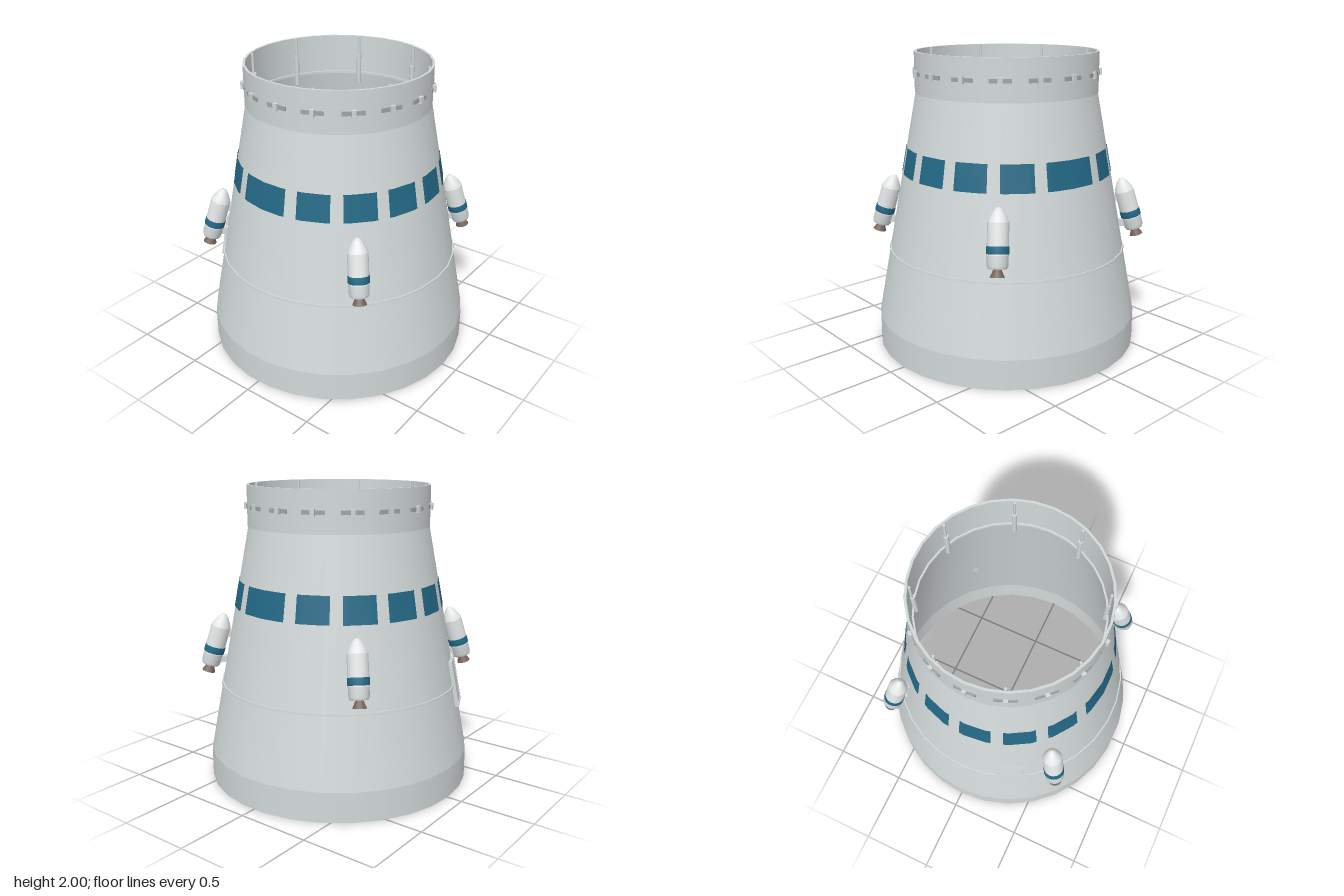
import * as THREE from 'three';

const SIDES = 30;
const DEG = Math.PI / 180;
const STEP = 360 / SIDES;
const SLOPE = Math.atan(0.29 / 1.53);

// Radius of the cone's corners at a height
const coneRadius = (y) => 0.897 - ((y - 0.2) / 1.53) * 0.29;

function makeMaterial(name, color, side = THREE.FrontSide) {
  const m = new THREE.MeshStandardMaterial({ color, side });
  m.name = name;
  return m;
}

function add(parent, name, geometry, material, x = 0, y = 0, z = 0) {
  const mesh = new THREE.Mesh(geometry, material);
  mesh.name = name;
  mesh.position.set(x, y, z);
  parent.add(mesh);
  return mesh;
}

// Open wall between two heights, with flats facing front and back
function wall(parent, name, material, y0, r0, y1, r1) {
  const g = new THREE.CylinderGeometry(r1, r0, y1 - y0, SIDES, 1, true, (STEP / 2) * DEG);
  return add(parent, name, g, material, 0, (y0 + y1) / 2, 0);
}

// Flat ring closing the gap between two walls
function rim(parent, name, material, y, inner, outer, up) {
  const g = new THREE.RingGeometry(inner, outer, SIDES, 1);
  g.rotateX(up ? -Math.PI / 2 : Math.PI / 2);
  return add(parent, name, g, material, 0, y, 0);
}

// Pane that follows the faceted cone between two angles (degrees)
function paneGeometry(a0, a1, y0, y1) {
  const angles = [a0];
  for (let a = Math.ceil((a0 - 6) / STEP) * STEP + 6; a < a1; a += STEP) if (a > a0) angles.push(a);
  angles.push(a1);
  const pos = [], idx = [];
  angles.forEach((a, i) => {
    const off = a - Math.round(a / STEP) * STEP;
    const facet = Math.cos((STEP / 2) * DEG) / Math.cos(off * DEG);
    for (const y of [y0, y1]) {
      const r = coneRadius(y) * facet + 0.004;
      pos.push(r * Math.sin(a * DEG), y, r * Math.cos(a * DEG));
    }
    if (i) {
      const k = i * 2;
      idx.push(k - 2, k, k - 1, k, k + 1, k - 1);
    }
  });
  const g = new THREE.BufferGeometry();
  g.setAttribute('position', new THREE.Float32BufferAttribute(pos, 3));
  g.setIndex(idx);
  g.computeVertexNormals();
  return g;
}

// Group turned so that its +z points outward at an angle
function radialGroup(parent, name, angle) {
  const g = new THREE.Group();
  g.name = name;
  g.rotation.y = angle * DEG;
  parent.add(g);
  return g;
}

function lathe(points, sides = 16) {
  return new THREE.LatheGeometry(points.map(([r, y]) => new THREE.Vector2(r, y)), sides);
}

export function createModel() {
  const model = new THREE.Group();
  model.name = 'adapterSection';
  const hull = makeMaterial('hull grey', 0xd2d8d8, THREE.DoubleSide);
  const white = makeMaterial('booster white', 0xe8ebeb);
  const blue = makeMaterial('window blue', 0x236885, THREE.DoubleSide);
  const fitting = makeMaterial('fitting grey', 0xa3a6a5);
  const brown = makeMaterial('nozzle brown', 0x76675d, THREE.DoubleSide);

  // Hull: base ring, cone and collar, each with an inner wall
  const T = 0.016;
  const sections = [
    ['base', 0, 0.897, 0.2, 0.897],
    ['cone', 0.2, 0.897, 1.73, 0.607],
    ['collar', 1.73, 0.611, 2, 0.611],
  ];
  for (const [name, y0, r0, y1, r1] of sections) {
    wall(model, name + 'Outer', hull, y0, r0, y1, r1);
    wall(model, name + 'Inner', hull, y0, r0 - T, y1, r1 - T);
  }
  rim(model, 'bottomRim', hull, 0, 0.897 - T, 0.897, false);
  rim(model, 'topRim', hull, 2, 0.611 - T, 0.611, true);
  rim(model, 'collarLip', hull, 1.73, 0.583, 0.611, false);
  wall(model, 'collarInnerBand', hull, 1.73, 0.583, 1.745, 0.583);
  rim(model, 'collarInnerLip', hull, 1.745, 0.583, 0.6, true);

  // Raised seam around the cone
  wall(model, 'seamBand', hull, 0.66, 0.817, 0.677, 0.815);
  rim(model, 'seamTop', hull, 0.677, 0.8, 0.815, true);
  rim(model, 'seamBottom', hull, 0.66, 0.8, 0.817, false);

  // Windows: one wide and six narrow on each half
  for (const half of [0, 180]) {
    add(model, 'wideWindow', paneGeometry(half - 20.8, half + 8.5, 1.2, 1.375), blue);
    for (let i = 0; i < 6; i++) {
      const a = half + 15.2 + i * 24;
      add(model, 'window', paneGeometry(a, a + 17.5, 1.2, 1.375), blue);
    }
  }

  // Latches around the collar
  for (let i = 0; i < 16; i++) {
    const g = radialGroup(model, 'latch', i * 22.5);
    add(g, 'latchBar', new THREE.BoxGeometry(0.14, 0.026, 0.02), fitting, 0, 1.862, 0.605);
    add(g, 'latchKnob', new THREE.BoxGeometry(0.028, 0.045, 0.03), hull, 0, 1.862, 0.615);
  }

  // Push rods inside the collar
  for (let i = 0; i < 8; i++) {
    const g = radialGroup(model, 'pushRod', 22.5 + i * 45);
    add(g, 'rodShaft', new THREE.CylinderGeometry(0.009, 0.009, 0.14, 8), hull, 0, 1.93, 0.582);
    add(g, 'rodSleeve', new THREE.CylinderGeometry(0.016, 0.016, 0.2, 10), hull, 0, 1.77, 0.578);
  }

  // Hatch with a raised frame, lying on the slope
  const hatch = radialGroup(model, 'hatch', -64.5);
  const door = new THREE.Group();
  door.name = 'hatchDoor';
  door.position.set(0, 0.683, coneRadius(0.683));
  door.rotation.x = -SLOPE;
  hatch.add(door);
  add(door, 'hatchPanel', new THREE.BoxGeometry(0.18, 0.3, 0.02), hull);
  for (const s of [-1, 1]) {
    add(door, 'hatchSideFrame', new THREE.BoxGeometry(0.012, 0.315, 0.03), hull, s * 0.092, 0, 0);
    add(door, 'hatchEndFrame', new THREE.BoxGeometry(0.19, 0.012, 0.03), hull, 0, s * 0.152, 0);
  }

  // Four small boosters leaning in along the cone
  for (let i = 0; i < 4; i++) {
    const g = radialGroup(model, 'booster', 45 + i * 90);
    const body = new THREE.Group();
    body.name = 'boosterBody';
    body.position.set(0, 0.742, 0.903);
    body.rotation.x = -17 * DEG;
    g.add(body);
    add(body, 'nozzle', lathe([[0.045, 0], [0.034, 0.025], [0.02, 0.06]]), brown);
    add(body, 'tail', lathe([[0, 0.05], [0.056, 0.05]]), hull);
    add(body, 'lowerCasing', lathe([[0.056, 0.05], [0.064, 0.068], [0.066, 0.14]]), hull);
    add(body, 'stripe', lathe([[0.066, 0.138], [0.069, 0.14], [0.069, 0.183], [0.066, 0.185]]), blue);
    add(body, 'upperCasing', lathe([[0.066, 0.13], [0.066, 0.325]]), white);
    add(body, 'nose', lathe([[0.066, 0.325], [0.056, 0.352], [0.035, 0.39], [0.018, 0.411], [0, 0.418]]), white);
    add(g, 'lowerBracket', new THREE.BoxGeometry(0.04, 0.045, 0.1), hull, 0, 0.825, 0.805);
    add(g, 'upperBracket', new THREE.BoxGeometry(0.04, 0.04, 0.06), hull, 0, 1.0, 0.76);
  }
  return model;
}
